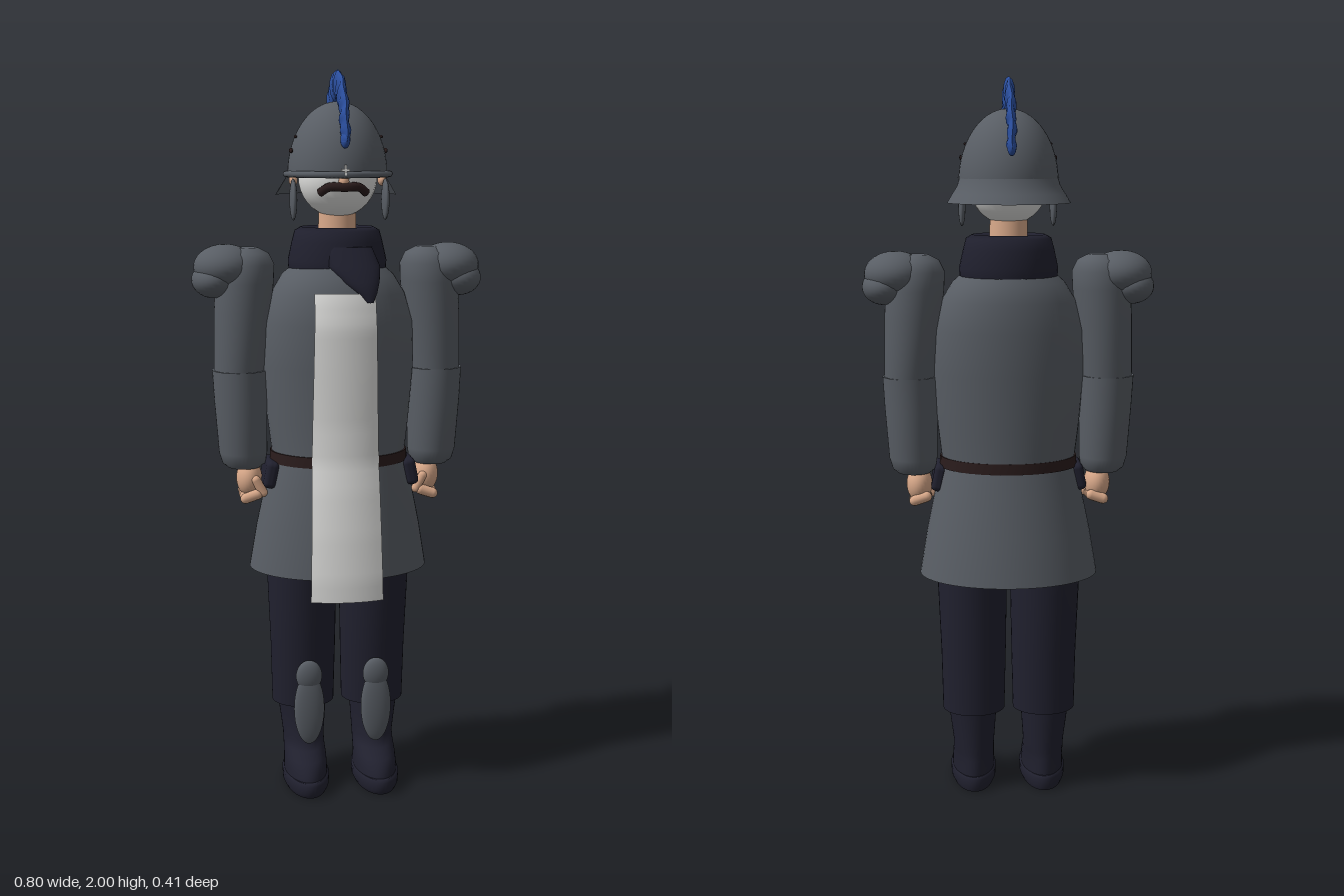
import * as THREE from 'three';
import { RoundedBoxGeometry } from 'three/addons/geometries/RoundedBoxGeometry.js';

const material = (name, color, side = THREE.FrontSide) => {
  const m = new THREE.MeshStandardMaterial({ color, side });
  m.name = name;
  return m;
};

// Smooth body through elliptical rings [y, rx, rz, cx, cz], with flat caps if wanted
function loft(rings, caps = true, n = 40) {
  const pos = [], idx = [];
  const addRing = ([y, rx, rz, cx = 0, cz = 0]) => {
    const start = pos.length / 3;
    for (let j = 0; j < n; j++) {
      const a = (j / n) * Math.PI * 2;
      pos.push(cx + rx * Math.sin(a), y, cz + rz * Math.cos(a));
    }
    return start;
  };
  rings.forEach(addRing);
  for (let i = 0; i < rings.length - 1; i++) {
    for (let j = 0; j < n; j++) {
      const a = i * n + j, b = i * n + (j + 1) % n;
      idx.push(a, b, b + n, a, b + n, a + n);
    }
  }
  if (caps) {
    [rings[0], rings[rings.length - 1]].forEach((r, k) => {
      const s = addRing(r), c = pos.length / 3;
      pos.push(r[3] || 0, r[0], r[4] || 0);
      for (let j = 0; j < n; j++) {
        const a = s + j, b = s + (j + 1) % n;
        if (k) idx.push(c, a, b); else idx.push(c, b, a);
      }
    });
  }
  const g = new THREE.BufferGeometry();
  g.setAttribute('position', new THREE.Float32BufferAttribute(pos, 3));
  g.setIndex(idx);
  g.computeVertexNormals();
  return g;
}

// Radii at height y, read from a ring profile
function ringAt(rings, y) {
  let i = 0;
  while (i < rings.length - 2 && y > rings[i + 1][0]) i++;
  const a = rings[i], b = rings[i + 1];
  const t = THREE.MathUtils.clamp((y - a[0]) / (b[0] - a[0]), 0, 1);
  return a.map((v, k) => v + (b[k] - v) * t);
}

export function createModel() {
  const model = new THREE.Group();
  model.name = 'soldier';
  const armor = material('armorGrey', 0x585d64);
  const armorSheet = material('armorGreySheet', 0x585d64, THREE.DoubleSide);
  const navy = material('navyCloth', 0x20202e);
  const blue = material('crestBlue', 0x2b4f9f);
  const white = material('white', 0xe2e2e0, THREE.DoubleSide);
  const skin = material('skin', 0xd9a98a);
  const brown = material('darkBrown', 0x2a1c1c);

  const add = (name, geometry, mat, parent = model) => {
    const m = new THREE.Mesh(geometry, mat);
    m.name = name;
    parent.add(m);
    return m;
  };
  const ball = (name, mat, [x, y, z], [rx, ry, rz], parent = model) => {
    const m = add(name, new THREE.SphereGeometry(1, 28, 18), mat, parent);
    m.position.set(x, y, z);
    m.scale.set(rx, ry, rz);
    return m;
  };

  // Tunic, belt and skirt
  const torso = [
    [0.95, 0.185, 0.155, 0, 0.008], [1.05, 0.197, 0.156, 0, 0.004], [1.2, 0.21, 0.163, 0, 0.001],
    [1.32, 0.208, 0.167, 0, 0], [1.4, 0.185, 0.158, 0, -0.003], [1.45, 0.155, 0.142, 0, -0.006],
    [1.49, 0.11, 0.11, 0, -0.01],
  ];
  const skirt = [
    [0.63, 0.25, 0.2, 0, -0.004], [0.75, 0.23, 0.185, 0, 0.002],
    [0.87, 0.205, 0.166, 0, 0.008], [0.95, 0.187, 0.152, 0, 0.01],
  ];
  add('tunic', loft(torso, true, 56), armor);
  add('skirt', loft(skirt, false, 56), armorSheet);
  add('belt', loft([[0.935, 0.193, 0.158, 0, 0.009], [0.965, 0.191, 0.158, 0, 0.009]]), brown);

  // Front stripe follows the tunic and skirt
  const outline = [...skirt, ...torso.slice(1)];
  const stripe = new THREE.PlaneGeometry(1, 1, 12, 42);
  const sp = stripe.attributes.position;
  for (let i = 0; i < sp.count; i++) {
    const t = sp.getY(i) + 0.5, y = 0.57 + 0.84 * t;
    const x = sp.getX(i) * (0.2 - 0.035 * t);
    const [, rx, rz, , cz] = ringAt(outline, y);
    sp.setXYZ(i, x, y, cz + rz * Math.sqrt(1 - (x / rx) ** 2) + 0.008);
  }
  stripe.computeVertexNormals();
  add('frontStripe', stripe, white);

  // Collar and scarf end
  add('collar', loft([
    [1.43, 0.115, 0.115, 0, -0.01], [1.45, 0.134, 0.125, 0, -0.01], [1.49, 0.136, 0.126, 0, -0.012],
    [1.54, 0.125, 0.118, 0, -0.014], [1.57, 0.117, 0.108, 0, -0.014], [1.58, 0.1, 0.092, 0, -0.014],
    [1.56, 0.07, 0.07, 0, -0.014], [1.52, 0.05, 0.05, 0, -0.014],
  ], false), navy);
  add('scarfEnd', loft([
    [1.385, 0.008, 0.006, 0.066, 0.158], [1.41, 0.026, 0.016, 0.06, 0.148],
    [1.44, 0.05, 0.026, 0.045, 0.132], [1.48, 0.07, 0.03, 0.03, 0.108], [1.53, 0.06, 0.02, 0.02, 0.09],
  ], true, 24), navy);

  // Head
  const head = new THREE.Group();
  head.name = 'head';
  model.add(head);
  add('neck', loft([[1.5, 0.055, 0.055, 0, -0.01], [1.65, 0.05, 0.045, 0, -0.01]]), skin, head);
  ball('face', white, [0, 1.715, -0.003], [0.108, 0.11, 0.118], head);
  ball('nose', skin, [0, 1.705, 0.118], [0.014, 0.02, 0.018], head);
  const moustache = new THREE.CatmullRomCurve3([
    [-0.062, 1.675, 0.1], [-0.04, 1.69, 0.119], [0, 1.69, 0.13], [0.04, 1.69, 0.119], [0.062, 1.675, 0.1],
  ].map(p => new THREE.Vector3(...p)));
  add('moustache', new THREE.TubeGeometry(moustache, 24, 0.012, 8), brown, head);

  // Helmet
  const helmet = new THREE.Group();
  helmet.name = 'helmet';
  model.add(helmet);
  const dome = add('dome', new THREE.SphereGeometry(1, 48, 20, 0, Math.PI * 2, 0, Math.PI / 2), armorSheet, helmet);
  dome.position.set(0, 1.72, -0.007);
  dome.scale.set(0.136, 0.196, 0.149);
  const guard = add('neckGuard', new THREE.LatheGeometry([
    [0.17, 1.665], [0.155, 1.69], [0.142, 1.71], [0.134, 1.735],
  ].map(p => new THREE.Vector2(...p)), 32, Math.PI / 2 + 0.15, Math.PI - 0.3), armorSheet, helmet);
  guard.scale.z = 1.1;
  guard.position.z = -0.007;
  const brow = add('browBand', new THREE.TorusGeometry(0.141, 0.009, 8, 40, Math.PI).rotateX(Math.PI / 2), armor, helmet);
  brow.position.set(0, 1.723, 0);
  brow.scale.z = 1.03;
  add('browStudUpright', new THREE.BoxGeometry(0.006, 0.026, 0.006), white, helmet).position.set(0, 1.735, 0.153);
  add('browStudBar', new THREE.BoxGeometry(0.022, 0.006, 0.006), white, helmet).position.set(0, 1.735, 0.153);
  for (const s of [-1, 1]) {
    ball('cheekPlate', armor, [s * 0.126, 1.655, 0.035], [0.01, 0.056, 0.035], helmet);
    ball('hinge', skin, [s * 0.122, 1.706, 0.0], [0.012, 0.016, 0.02], helmet);
    ball('ventSlot', brown, [s * 0.129, 1.785, 0.012], [0.004, 0.007, 0.032], helmet);
    ball('upperVentSlot', brown, [s * 0.117, 1.822, 0.016], [0.004, 0.004, 0.014], helmet);
  }

  // Crest: flattened, rippled arc with rounded ends
  const crestGeo = new THREE.TorusGeometry(0.152, 0.038, 12, 90, Math.PI);
  const cp = crestGeo.attributes.position;
  for (let i = 0; i < cp.count; i++) {
    const a = Math.atan2(cp.getY(i), cp.getX(i));
    cp.setZ(i, cp.getZ(i) * (0.32 + 0.05 * Math.sin(a * 26)) + 0.0015 * Math.sin(a * 13));
  }
  crestGeo.rotateY(Math.PI / 2);
  crestGeo.computeVertexNormals();
  add('crest', crestGeo, blue, helmet).position.set(0, 1.81, -0.01);
  for (const s of [-1, 1]) ball('crestEnd', blue, [0, 1.815, -0.01 + s * 0.152], [0.012, 0.024, 0.038], helmet);

  for (const s of [-1, 1]) {
    // Arm
    const arm = new THREE.Group();
    arm.name = s > 0 ? 'leftArm' : 'rightArm';
    model.add(arm);
    const x = v => s * v;
    add('upperArm', loft([
      [1.17, 0.068, 0.07, x(0.274), 0], [1.19, 0.07, 0.08, x(0.274), -0.004], [1.35, 0.078, 0.084, x(0.264), -0.006],
      [1.43, 0.08, 0.086, x(0.257), -0.006], [1.48, 0.077, 0.082, x(0.252), -0.006],
      [1.51, 0.06, 0.065, x(0.25), -0.006], [1.525, 0.03, 0.035, x(0.25), -0.006],
    ]), armor, arm);
    add('forearm', loft([
      [0.918, 0.045, 0.05, x(0.264), 0], [0.93, 0.06, 0.066, x(0.264), 0], [0.96, 0.067, 0.075, x(0.266), 0],
      [1.1, 0.073, 0.08, x(0.271), 0], [1.19, 0.075, 0.083, x(0.274), -0.003],
    ]), armor, arm);
    ball('shoulderPad', armor, [x(0.31), 1.473, -0.007], [0.086, 0.062, 0.092], arm);
    ball('shoulderPadLobe', armor, [x(0.34), 1.438, -0.007], [0.062, 0.05, 0.084], arm);
    ball('palm', skin, [x(0.25), 0.885, 0], [0.036, 0.052, 0.048], arm);
    for (let i = 0; i < 4; i++) {
      const f = add('finger', new THREE.CapsuleGeometry(0.015, 0.035, 4, 10), skin, arm);
      f.position.set(x(0.247), 0.84 + 0.003 * i, 0.042 - 0.027 * i);
      f.rotation.z = s * 1.25;
    }
    const thumb = add('thumb', new THREE.CapsuleGeometry(0.013, 0.04, 4, 10), skin, arm);
    thumb.position.set(x(0.225), 0.868, 0.042);
    thumb.rotation.z = s * -0.5;

    // Belt pouch
    const pouch = add('beltPouch', new RoundedBoxGeometry(0.035, 0.075, 0.13, 3, 0.014), navy);
    pouch.position.set(x(0.195), 0.905, 0.02);
    pouch.rotation.z = s * 0.2;

    // Leg and boot
    const leg = new THREE.Group();
    leg.name = s > 0 ? 'leftLeg' : 'rightLeg';
    model.add(leg);
    add('trouserLeg', loft([
      [0.23, 0.088, 0.086, x(0.1), -0.013], [0.4, 0.092, 0.094, x(0.1), -0.008],
      [0.63, 0.099, 0.108, x(0.103), -0.003], [0.88, 0.085, 0.11, x(0.09), 0],
    ]), navy, leg);
    add('boot', loft([
      [0.03, 0.06, 0.13, x(0.1), 0.045], [0.06, 0.06, 0.127, x(0.1), 0.042], [0.085, 0.059, 0.112, x(0.1), 0.03],
      [0.105, 0.058, 0.09, x(0.1), 0.008], [0.13, 0.058, 0.077, x(0.1), -0.006],
      [0.2, 0.065, 0.077, x(0.102), -0.008], [0.25, 0.07, 0.08, x(0.104), -0.008],
    ]), navy, leg);
    add('sole', loft([
      [0, 0.058, 0.137, x(0.1), 0.045], [0.012, 0.064, 0.143, x(0.1), 0.047],
      [0.036, 0.065, 0.145, x(0.1), 0.047], [0.042, 0.058, 0.135, x(0.1), 0.046],
    ]), navy, leg);
    ball('shinGuard', armor, [x(0.095), 0.235, 0.099], [0.043, 0.105, 0.017], leg);
    ball('kneeGuard', armor, [x(0.095), 0.33, 0.096], [0.037, 0.045, 0.019], leg);
  }
  return model;
}
